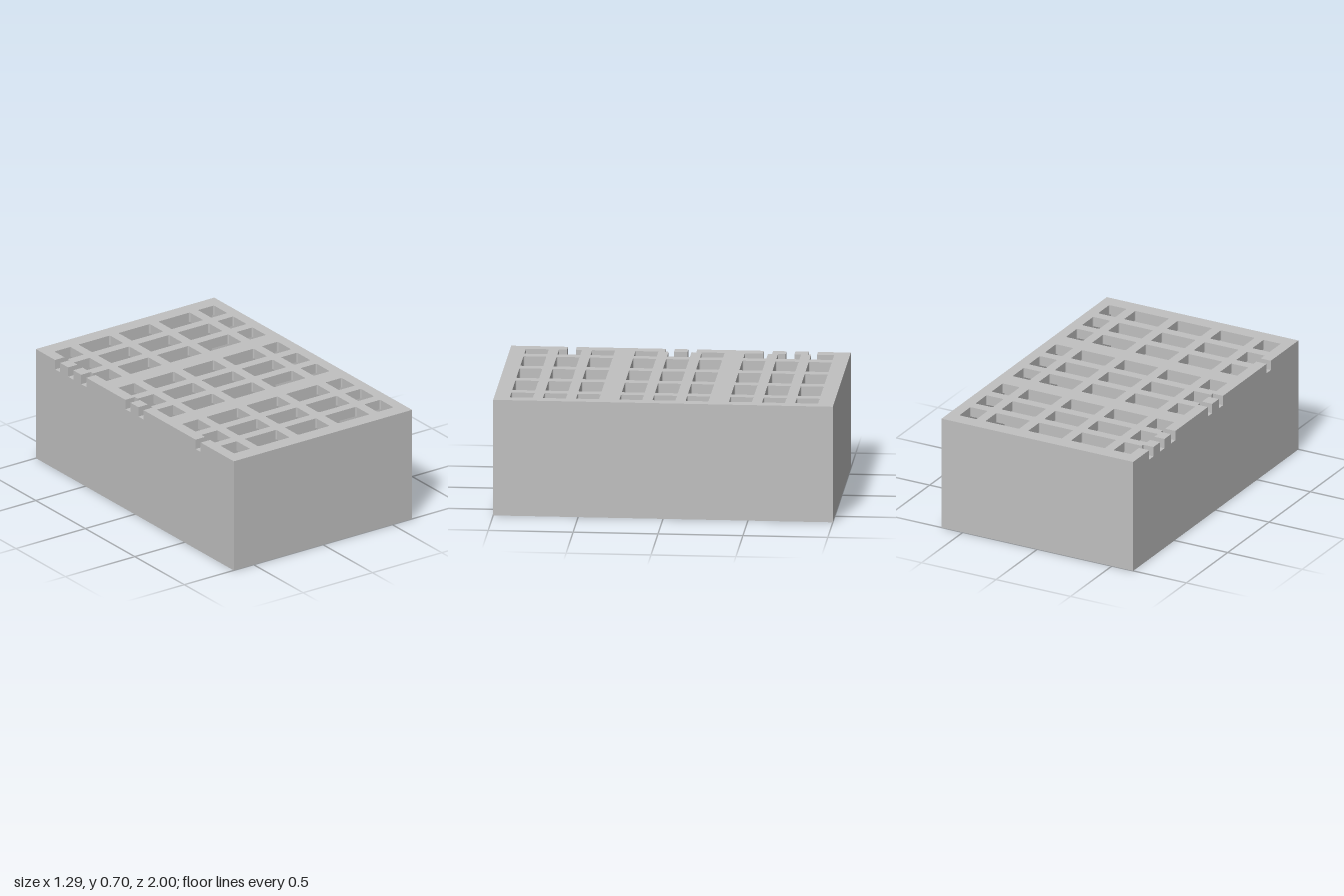
import * as THREE from 'three';

const W = 1.286, H = 0.7, D = 2, T = 0.06;   // outer size and wall thickness
const PITCH = 0.645;                         // spacing of the three bays along z
const EDGE = 0.575;                          // outer limit of the window columns

export function createModel() {
  const model = new THREE.Group();
  const grey = new THREE.MeshStandardMaterial({ color: 0xc0c0c0 });
  grey.name = 'light grey';

  const add = (name, geometry, x = 0, y = 0, z = 0) => {
    const mesh = new THREE.Mesh(geometry, grey);
    mesh.name = name;
    mesh.position.set(x, y, z);
    model.add(mesh);
    return mesh;
  };
  const box = (name, x0, x1, y0, y1, z0, z1) =>
    add(name, new THREE.BoxGeometry(x1 - x0, y1 - y0, z1 - z0),
      (x0 + x1) / 2, (y0 + y1) / 2, (z0 + z1) / 2);
  const extrudeUp = (shape, height) =>
    new THREE.ExtrudeGeometry(shape, { depth: height, bevelEnabled: false, curveSegments: 3 })
      .rotateX(-Math.PI / 2);

  // Window outline with small rounded corners
  const windowPath = (cx, cy, w, h, r = 0.008) => {
    const p = new THREE.Path(), x = w / 2, y = h / 2;
    p.absarc(cx + x - r, cy + y - r, r, 0, Math.PI / 2);
    p.absarc(cx - x + r, cy + y - r, r, Math.PI / 2, Math.PI);
    p.absarc(cx - x + r, cy - y + r, r, Math.PI, Math.PI * 1.5);
    p.absarc(cx + x - r, cy - y + r, r, Math.PI * 1.5, Math.PI * 2);
    p.closePath();
    return p;
  };

  // Case floor, outer walls and bay dividers
  box('floor', -W / 2, W / 2, 0, T, -D / 2, D / 2);
  for (const s of [-1, 1]) {
    const x = s * (W - T) / 2, z = s * (D - T) / 2, d = s * PITCH / 2;
    box('sideWall', x - T / 2, x + T / 2, T, H - T, -D / 2, D / 2);
    box('endWall', -W / 2 + T, W / 2 - T, T, H - T, z - T / 2, z + T / 2);
    box('bayDivider', -W / 2 + T, W / 2 - T, T, H - T, d - 0.025, d + 0.025);
  }

  // Balls, two in each bay
  for (const z of [-PITCH, 0, PITCH])
    for (const x of [-0.2875, 0.2875])
      add('ball', new THREE.SphereGeometry(0.22, 40, 24), x, T + 0.22, z);

  // Lid lattice: the first window column is open towards the notched rim
  const rows = [];
  for (const bay of [-PITCH, 0, PITCH])
    for (const o of [-0.195, 0, 0.195]) rows.push(bay + o);
  const rowH = 0.135;
  const lid = new THREE.Shape();
  lid.moveTo(-EDGE, -D / 2);
  lid.lineTo(W / 2, -D / 2);
  lid.lineTo(W / 2, D / 2);
  lid.lineTo(-EDGE, D / 2);
  for (const y of [...rows].reverse()) {
    lid.lineTo(-EDGE, y + rowH / 2);
    lid.lineTo(-0.46, y + rowH / 2);
    lid.lineTo(-0.46, y - rowH / 2);
    lid.lineTo(-EDGE, y - rowH / 2);
  }
  lid.closePath();
  const columns = [[-0.2875, 0.226], [0, 0.226], [0.2875, 0.226], [0.5175, 0.115]];
  for (const y of rows)
    for (const [x, w] of columns) lid.holes.push(windowPath(x, y, w, rowH));
  add('lidLattice', extrudeUp(lid, T), 0, H - T, 0);

  // Lid rim split by counting notches: three, two and one
  const notchW = 0.052;
  const notches = [-0.78, -0.648, -0.516, -0.07, 0.062, 0.64];
  let start = -D / 2;
  for (const z of notches) {
    box('notchedRim', -W / 2, -EDGE, H - T, H, start, z - notchW / 2);
    start = z + notchW / 2;
  }
  box('notchedRim', -W / 2, -EDGE, H - T, H, start, D / 2);

  return model;
}
